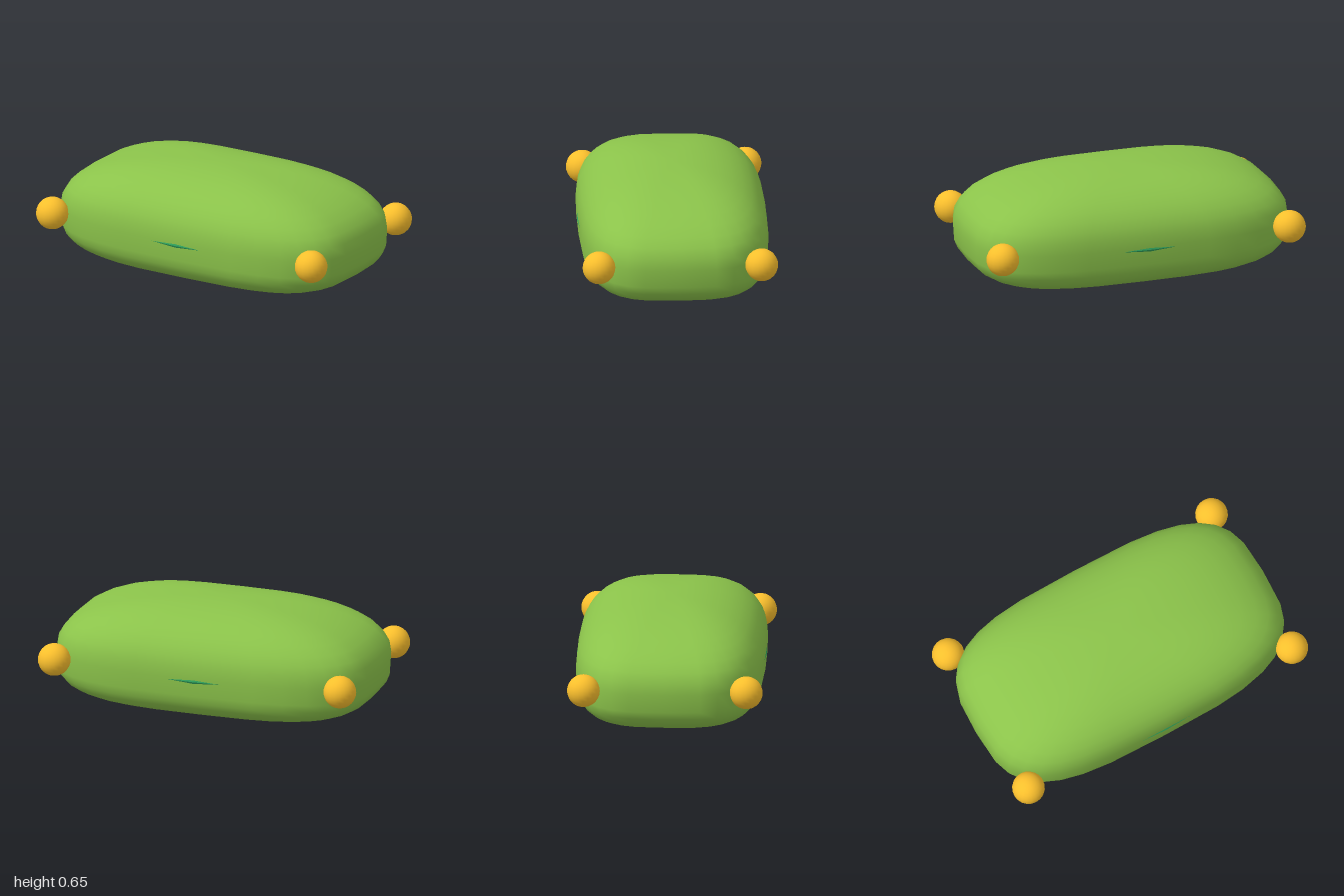
import * as THREE from 'three';
import { mergeVertices } from 'three/addons/utils/BufferGeometryUtils.js';

const material = (color) => new THREE.MeshStandardMaterial({ color });
const signedPow = (v, e) => Math.sign(v) * Math.abs(v) ** e;

// Rounded cushion: a sphere squared off by power curves, boxier below the waist
function cushionGeometry(halfX, halfZ, waist, rise) {
  const geo = new THREE.SphereGeometry(1, 32, 20);
  geo.deleteAttribute('uv');
  geo.deleteAttribute('normal');
  const pos = geo.attributes.position;
  for (let i = 0; i < pos.count; i++) {
    const x = pos.getX(i), y = pos.getY(i), z = pos.getZ(i);
    const upper = y > 1e-6;
    const e = upper ? 0.87 : 0.55;
    const ring = Math.hypot(x, z);
    const r = ring < 1e-6 ? 0 : ring ** e;
    const c = ring < 1e-6 ? 0 : signedPow(x / ring, 0.59);
    const s = ring < 1e-6 ? 0 : signedPow(z / ring, 0.59);
    pos.setXYZ(i, halfX * r * c, waist + signedPow(y, e) * (upper ? rise : waist), halfZ * r * s);
  }
  const merged = mergeVertices(geo, 1e-4);
  merged.computeVertexNormals();
  return merged;
}

export function createModel() {
  const model = new THREE.Group();
  model.name = 'cushion';
  const add = (name, geometry, mat, x = 0, y = 0, z = 0) => {
    const mesh = new THREE.Mesh(geometry, mat);
    mesh.name = name;
    mesh.position.set(x, y, z);
    model.add(mesh);
    return mesh;
  };

  add('body', cushionGeometry(0.99, 0.562, 0.3, 0.35), material(0x8bc34a));

  // Corner balls
  const ball = new THREE.SphereGeometry(0.098, 20, 14);
  const gold = material(0xfbc02d);
  // Thin slivers of trim on the front and back
  const sliver = new THREE.OctahedronGeometry(1, 0).scale(0.18, 0.018, 0.009);
  const teal = material(0x2e9e5b);
  for (const [end, sz] of [['front', 1], ['back', -1]]) {
    for (const [side, sx] of [['Left', 1], ['Right', -1]]) {
      add(`${end}${side}Ball`, ball, gold, sx * 0.902, 0.3, sz * 0.486);
    }
    add(`${end}Trim`, sliver, teal, 0, 0.285, sz * 0.558);
  }
  return model;
}
